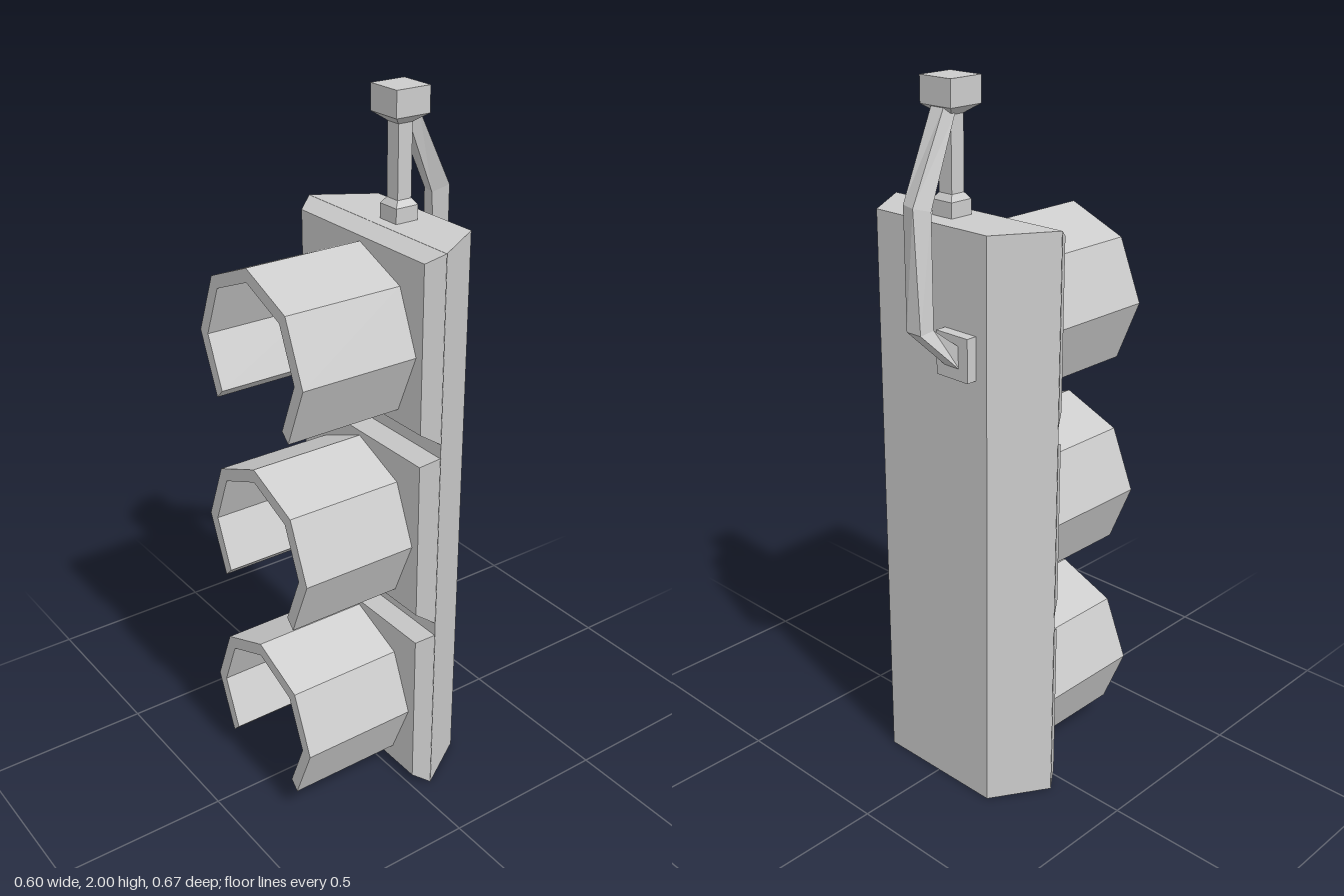
import * as THREE from 'three';

const material = new THREE.MeshStandardMaterial({ color: 0xcccccc, flatShading: true, side: THREE.DoubleSide });

function addMesh(parent, name, geometry) {
  const mesh = new THREE.Mesh(geometry, material);
  mesh.name = name;
  parent.add(mesh);
  return mesh;
}

// Skin through four-cornered cross-sections, with both ends closed.
// Corners run counter-clockwise seen from the far end.
function loft(rings) {
  const pos = [];
  const quad = (a, b, c, d) => pos.push(...a, ...b, ...c, ...a, ...c, ...d);
  for (let r = 0; r < rings.length - 1; r++) {
    const a = rings[r], b = rings[r + 1];
    for (let i = 0; i < 4; i++) {
      const j = (i + 1) % 4;
      quad(a[i], a[j], b[j], b[i]);
    }
  }
  const [p, q, s, t] = rings[0];
  quad(t, s, q, p);
  quad(...rings[rings.length - 1]);
  const geometry = new THREE.BufferGeometry();
  geometry.setAttribute('position', new THREE.Float32BufferAttribute(pos, 3));
  geometry.computeVertexNormals();
  return geometry;
}

// Horizontal rectangle, for lofting upwards
const flatRing = (y, cx, cz, hx, hz) => [
  [cx - hx, y, cz - hz], [cx - hx, y, cz + hz], [cx + hx, y, cz + hz], [cx + hx, y, cz - hz],
];
// Upright rectangle, for lofting forwards
const faceRing = (z, hx, y0, y1) => [[-hx, y0, z], [hx, y0, z], [hx, y1, z], [-hx, y1, z]];

// Octagonal hood, open at the bottom
function visorGeometry(outer, inner, depth) {
  const points = [];
  const corner = (r, i) => {
    const a = (i - 1) * Math.PI / 4;
    points.push(new THREE.Vector2(r * Math.cos(a), r * Math.sin(a)));
  };
  for (let i = 0; i <= 6; i++) corner(outer, i);
  for (let i = 6; i >= 0; i--) corner(inner, i);
  return new THREE.ExtrudeGeometry(new THREE.Shape(points), { depth, bevelEnabled: false });
}

export function createModel() {
  const model = new THREE.Group();
  model.name = 'trafficLight';

  // Housing, narrower at the back
  const plan = (y) => [[-0.197, y, -0.217], [-0.298, y, -0.055], [0.298, y, -0.055], [0.197, y, -0.217]];
  addMesh(model, 'housing', loft([plan(0), plan(1.652)]));

  // Three signals: bevelled panel, lens and hood
  const signals = [
    ['top', 1.368, 1.13, 1.652],
    ['middle', 0.807, 0.57, 1.09],
    ['bottom', 0.247, 0, 0.53],
  ];
  for (const [label, y, low, high] of signals) {
    const signal = new THREE.Group();
    signal.name = label + 'Signal';
    addMesh(signal, 'panel', loft([
      faceRing(-0.056, 0.298, low, high),
      faceRing(-0.01, 0.268, low + 0.028, high - 0.026),
    ]));
    const lens = addMesh(signal, 'lens', new THREE.CylinderGeometry(0.205, 0.205, 0.06, 8).rotateX(Math.PI / 2));
    lens.position.set(0, y, 0.005);
    const visor = addMesh(signal, 'visor', visorGeometry(0.243, 0.205, 0.345));
    visor.position.set(0, y, -0.01);
    model.add(signal);
  }

  // Short hanger post with chamfered foot and head
  const px = 0.014, pz = -0.125;
  const post = (y, hx, hz) => flatRing(y, px, pz, hx, hz);
  addMesh(model, 'hangerPost', loft([
    post(1.65, 0.035, 0.035), post(1.693, 0.035, 0.035), post(1.71, 0.023, 0.022),
    post(1.907, 0.023, 0.022), post(1.93, 0.054, 0.053), post(2, 0.054, 0.053),
  ]));

  // Bent arm from the head down to the back plate
  addMesh(model, 'bracketArm', loft([
    [[-0.01, 1.935, -0.17], [0.034, 1.935, -0.17], [0.03, 1.91, -0.14], [-0.016, 1.91, -0.14]],
    [[-0.047, 1.71, -0.317], [0.002, 1.71, -0.303], [-0.008, 1.695, -0.252], [-0.057, 1.695, -0.265]],
    [[-0.085, 1.4, -0.335], [-0.035, 1.4, -0.335], [-0.035, 1.405, -0.29], [-0.085, 1.405, -0.29]],
    [[-0.131, 1.3, -0.245], [-0.081, 1.3, -0.245], [-0.081, 1.36, -0.245], [-0.131, 1.36, -0.245]],
  ]));

  const plate = addMesh(model, 'mountingPlate', new THREE.BoxGeometry(0.11, 0.118, 0.04));
  plate.position.set(-0.105, 1.33, -0.228);

  return model;
}
